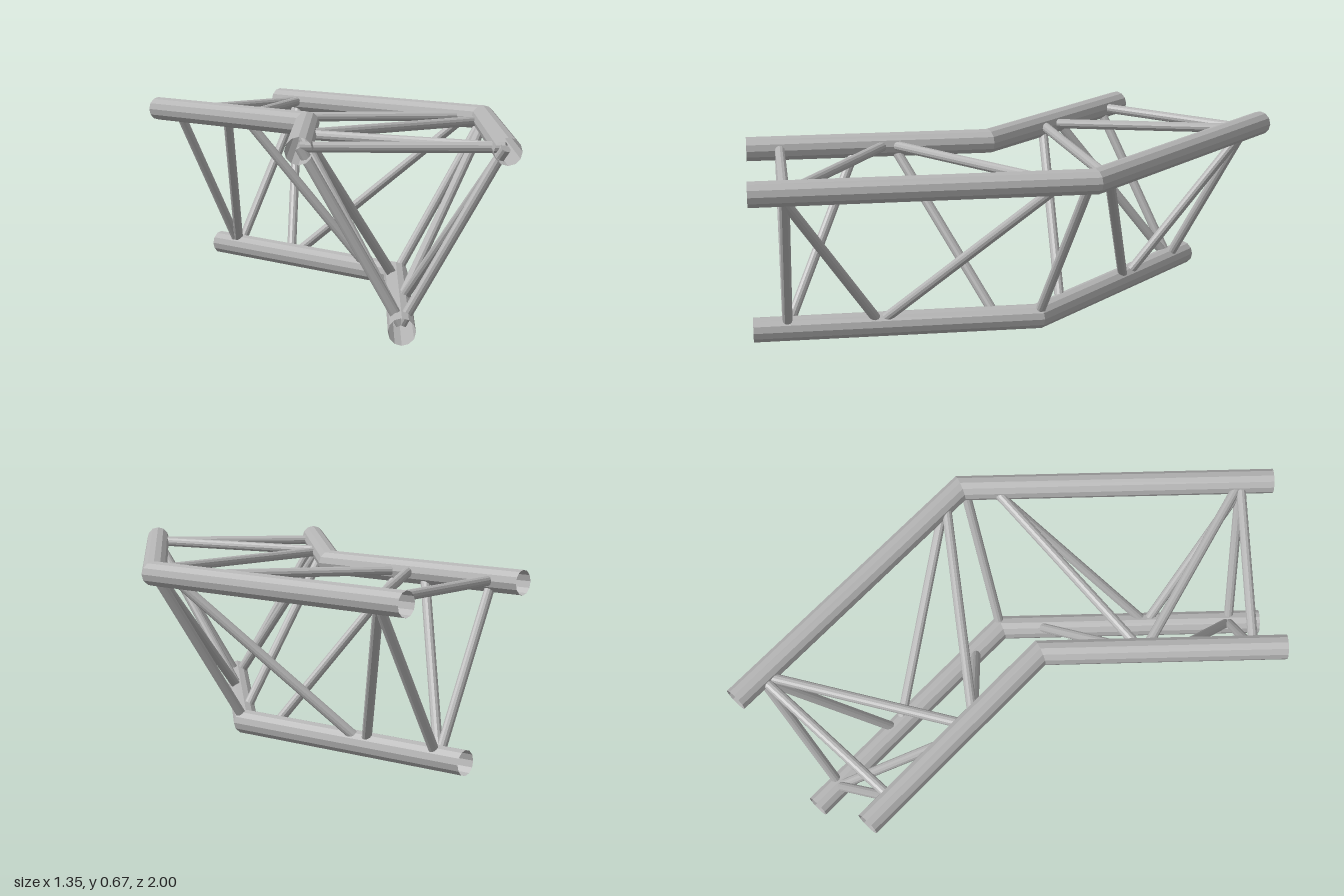
import * as THREE from 'three';
import { toCreasedNormals } from 'three/addons/utils/BufferGeometryUtils.js';

const SIDES = 12, CHORD_R = 0.045, BRACE_R = 0.018;
const TOP = 0.625, BOTTOM = 0.045;

// Open tube with a mitred 45 degree bend: runs back along -z, then off towards -x -z
function bentTube(x, y, bendZ, legLength) {
  const s = Math.SQRT1_2, miter = Math.tan(Math.PI / 8);
  const positions = [], index = [];
  for (let ring = 0; ring < 3; ring++) {
    for (let i = 0; i < SIDES; i++) {
      const a = (i / SIDES) * Math.PI * 2;
      const cx = Math.cos(a) * CHORD_R, cy = y + Math.sin(a) * CHORD_R;
      if (ring === 0) positions.push(x + cx, cy, 1);
      if (ring === 1) positions.push(x + cx, cy, bendZ - cx * miter);
      if (ring === 2) positions.push(x - legLength + cx * s, cy, bendZ - legLength - cx * s);
    }
  }
  for (let ring = 0; ring < 2; ring++) {
    for (let i = 0; i < SIDES; i++) {
      const j = (i + 1) % SIDES;
      const a = ring * SIDES + i, b = ring * SIDES + j, c = a + SIDES, d = b + SIDES;
      index.push(a, c, b, b, c, d);
    }
  }
  const geo = new THREE.BufferGeometry();
  geo.setAttribute('position', new THREE.Float32BufferAttribute(positions, 3));
  geo.setIndex(index);
  // orient the faces outwards and keep the facets flat
  const flat = geo.toNonIndexed();
  const p = flat.attributes.position;
  const v = [0, 1, 2].map((k) => new THREE.Vector3().fromBufferAttribute(p, k));
  const n = v[1].clone().sub(v[0]).cross(v[2].clone().sub(v[0]));
  if (n.x < 0) {
    for (let k = 0; k < index.length; k += 3) [index[k + 1], index[k + 2]] = [index[k + 2], index[k + 1]];
    geo.setIndex(index);
  }
  return toCreasedNormals(geo, 0.1);
}

export function createModel() {
  const model = new THREE.Group();
  const steel = new THREE.MeshStandardMaterial({ color: 0xb4b4b4, side: THREE.DoubleSide });
  steel.name = 'steel grey';

  // Three main chords
  const chords = {
    outer: { x: 0.63, y: TOP, bend: -0.16, leg: 0.81 },
    inner: { x: -0.03, y: TOP, bend: 0.115, leg: 0.617 },
    lower: { x: 0.3, y: BOTTOM, bend: -0.02, leg: 0.715 },
  };
  for (const [name, c] of Object.entries(chords)) {
    const mesh = new THREE.Mesh(bentTube(c.x, c.y, c.bend, c.leg), steel);
    mesh.name = name + 'Chord';
    model.add(mesh);
  }

  // Point on a chord's centre line at a given z
  const on = (name, z) => {
    const c = chords[name];
    return new THREE.Vector3(c.x + Math.min(0, z - c.bend), c.y, z);
  };

  // Braces: chord, z, chord, z
  const braces = [
    // front frame
    ['inner', 0.88, 'outer', 0.88],
    ['inner', 0.88, 'lower', 0.88],
    ['outer', 0.88, 'lower', 0.88],
    // straight leg diagonals
    ['outer', 0.88, 'inner', 0.49],
    ['inner', 0.48, 'outer', -0.04],
    ['inner', 0.6, 'lower', 0.88],
    ['inner', 0.47, 'lower', 0.13],
    ['outer', 0.9, 'lower', 0.55],
    ['lower', 0.56, 'outer', -0.05],
    // bend frame
    ['lower', -0.02, 'outer', -0.145],
    ['inner', -0.13, 'lower', -0.12],
    ['inner', -0.13, 'outer', -0.215],
    // angled leg diagonals
    ['lower', -0.42, 'outer', -0.22],
    ['lower', -0.43, 'outer', -0.89],
    ['lower', -0.655, 'inner', -0.2],
    ['outer', -0.88, 'inner', -0.15],
    // back frame
    ['outer', -0.885, 'inner', -0.415],
    ['lower', -0.655, 'inner', -0.41],
    ['lower', -0.65, 'outer', -0.885],
  ];
  const up = new THREE.Vector3(0, 1, 0);
  braces.forEach(([n1, z1, n2, z2], i) => {
    const a = on(n1, z1), b = on(n2, z2), d = b.clone().sub(a);
    const geo = new THREE.CylinderGeometry(BRACE_R, BRACE_R, d.length(), SIDES);
    const mesh = new THREE.Mesh(toCreasedNormals(geo, 0.1), steel);
    mesh.name = 'brace' + (i + 1);
    mesh.position.copy(a).add(b).multiplyScalar(0.5);
    mesh.quaternion.setFromUnitVectors(up, d.normalize());
    model.add(mesh);
  });
  return model;
}
